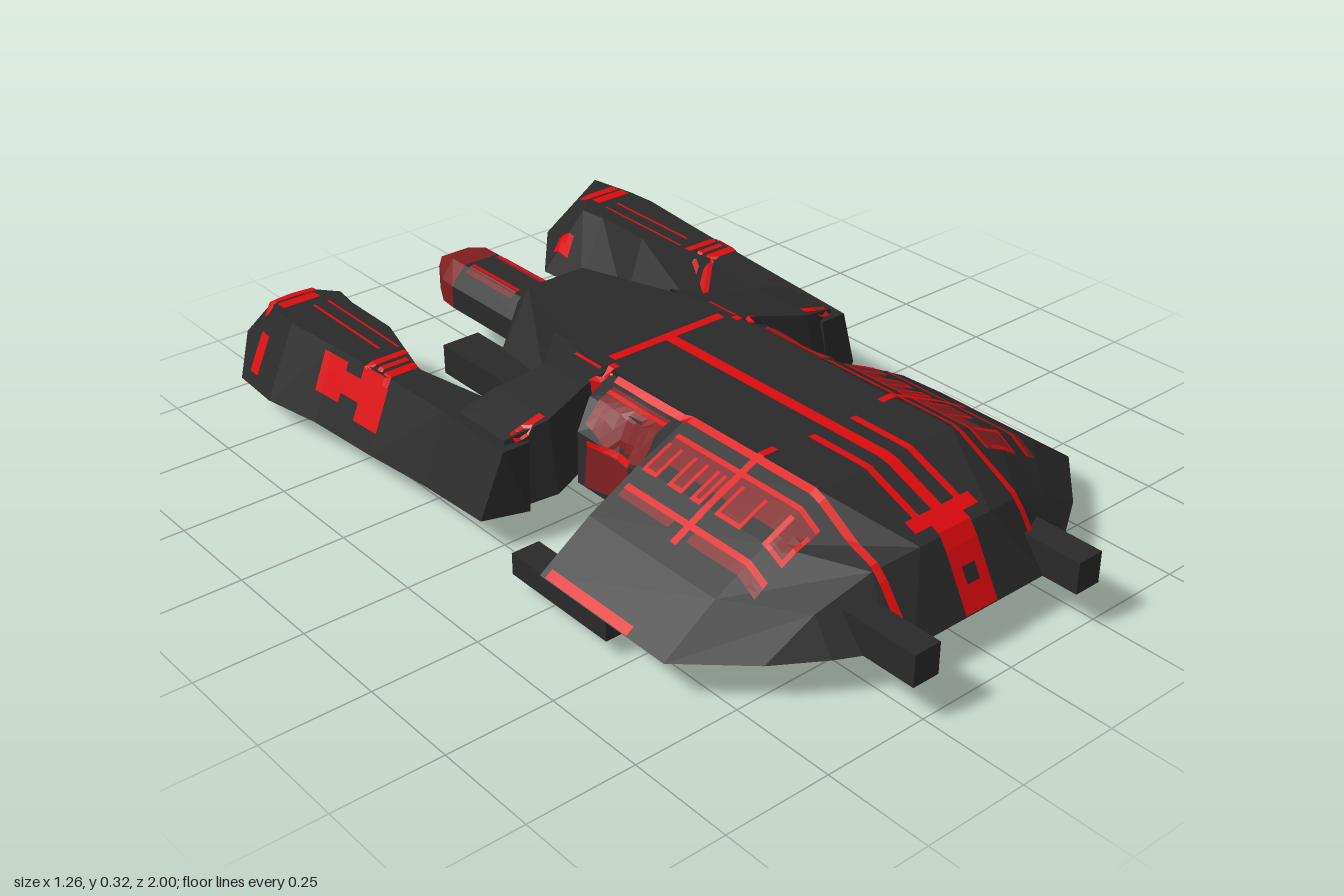
import * as THREE from 'three';

const mat = (name, color) => {
  const m = new THREE.MeshStandardMaterial({ color, side: THREE.DoubleSide, flatShading: true });
  m.name = name;
  return m;
};

// Skin a list of equal-length rings of [x, y, z] points, capping the listed rings
function loft(rings, closed = false, caps = []) {
  const p = [];
  const n = rings[0].length;
  const tri = (a, b, c) => p.push(...a, ...b, ...c);
  for (let i = 0; i + 1 < rings.length; i++) {
    for (let j = 0; j < (closed ? n : n - 1); j++) {
      const k = (j + 1) % n;
      const [a, b, c, d] = [rings[i][j], rings[i][k], rings[i + 1][k], rings[i + 1][j]];
      tri(a, b, c);
      tri(a, c, d);
    }
  }
  for (const ci of caps) {
    const r = rings[ci];
    for (let j = 1; j + 1 < n; j++) tri(r[0], r[j], r[j + 1]);
  }
  const g = new THREE.BufferGeometry();
  g.setAttribute('position', new THREE.Float32BufferAttribute(p, 3));
  g.computeVertexNormals();
  return g;
}

// Full ring from its right half, centre point first
const mirrorRing = half => [...half.slice(1).reverse().map(([x, y, z]) => [-x, y, z]), ...half];

export function createModel() {
  const model = new THREE.Group();
  model.name = 'spaceship';
  const dark = mat('charcoal', 0x2a2a2a);
  const red = mat('red', 0xdd0a0e);
  const maroon = mat('darkRed', 0x7e1e20);
  const add = (name, geo, m = dark) => {
    const mesh = new THREE.Mesh(geo, m);
    mesh.name = name;
    model.add(mesh);
    return mesh;
  };
  const box = (name, x0, x1, y0, y1, z0, z1) => {
    const g = new THREE.BoxGeometry(x1 - x0, y1 - y0, z1 - z0);
    g.translate((x0 + x1) / 2, (y0 + y1) / 2, (z0 + z1) / 2);
    add(name, g);
  };

  // Broad front hull: a shell open underneath, with a rear panel that dips on one side
  const section = z => [[0, .315, z], [.19, .315, z], [.33, .25, z], [.46, .18, z], [.59, .09, z]];
  const hull = add('frontHull', loft([
    section(.25), section(.64),
    [[0, .24, .83], [.1, .24, .83], [.21, .22, .81], [.33, .16, .78], [.45, .09, .77]],
    [[0, .09, .912], [.19, .09, .912], [.24, .09, .89], [.34, .09, .84], [.45, .09, .77]],
  ].map(mirrorRing)));
  for (const s of [1, -1]) {
    const [dip, mid] = s > 0 ? [.02, .055] : [.08, .085];
    add('hullRearPanel', loft([
      [[.19 * s, .1, .23], [.33 * s, dip, .235], [.46 * s, mid, .25], [.59 * s, .09, .26]],
      [[.19 * s, .315, .25], [.33 * s, .25, .25], [.46 * s, .18, .25], [.59 * s, .09, .25]],
    ]));
  }

  // Spine running back from the hull
  const spine = add('spine', loft([
    [[0, .315, .25], [.19, .315, .25], [.2, .14, .25]],
    [[0, .315, -.1], [.19, .315, -.1], [.2, .14, -.1]],
    [[0, .315, -.22], [.16, .315, -.22], [.19, .14, -.25]],
    [[0, .315, -.46], [.08, .315, -.46], [.17, .14, -.47]],
    [[0, .25, -.52], [.07, .25, -.52], [.09, .14, -.52]],
  ].map(mirrorRing)));

  // Tail boom with a coloured tip
  const boomRing = (z, w, t, y1) => [[-w, .145, z], [-w, .205, z], [-t, y1, z], [t, y1, z], [w, .205, z], [w, .145, z]];
  const boom = add('tailBoom', loft([boomRing(-.44, .09, .05, .25), boomRing(-.77, .09, .05, .25)], true, [0]));
  add('tailTip', loft([boomRing(-.77, .09, .05, .25), boomRing(-.82, .085, .05, .25), boomRing(-.885, .05, .04, .23)], true, [2]), maroon);

  // Side necks, wings and rear arms, all open underneath
  const necks = [], wings = [], arms = [];
  for (const s of [1, -1]) {
    const side = rings => rings.map(r => r.map(([x, y, z]) => [x * s, y, z]));
    const low = s > 0 ? .02 : .08;
    necks.push(add('sideNeck', loft(side([
      [[.18, .31, .25], [.26, .28, .25], [.31, .2, .25], [.33, low, .235]],
      [[.18, .31, .13], [.25, .28, .13], [.29, .2, .13], [.3, .08, .13]],
      [[.18, .31, -.02], [.26, .28, 0], [.31, .22, .02], [.32, .1, .03]],
    ]))));
    wings.push(add('wing', loft(side([
      [.17, 0, -.27, .312, .14], [.26, .01, -.19, .295, .13],
      [.38, .04, -.21, .27, .1], [.48, .015, -.21, .245, .09],
    ].map(([x, zf, zb, t, b]) => [[x, b, zf], [x, t, zf - .03], [x, t, zb + .03], [x, b, zb]])))));
    // z, inner bottom, inner top, outer top, outer bottom, top y, bottom y
    const armRings = [
      [.01, .45, .43, .5, .555, .235, .08], [-.2, .36, .4, .505, .565, .245, .08],
      [-.39, .41, .44, .515, .585, .25, .08], [-.6, .32, .38, .53, .6, .254, .08],
      [-.76, .3, .38, .545, .628, .256, .08],
    ].map(([z, ib, it, ot, ob, t, b], i) => [[ib, i || s < 0 ? b : 0, i ? z : .03], [it, t, z], [ot, t, z], [ob, b, i ? z : -.005]]);
    armRings.push([[.29, .08, -.9], [.37, .257, -.83], [.54, .257, -.84], [.62, .08, -.9]]);
    armRings.push([[.37, .14, -.99], [.41, .25, -.9], [.52, .257, s > 0 ? -.97 : -.89], [.54, .14, -1]]);
    arms.push(add('rearArm', loft(side(armRings), false, [0, 6])));
  }

  // Guns, belly pods and rear thruster rails
  for (const [x, pod, rail] of [[.218, .52, .172], [-.25, -.552, -.199]]) {
    box('frontGun', x - .034, x + .034, .09, .165, .74, 1);
    box('bellyPod', pod - .035, pod + .035, .04, .092, .15, .46);
    box('rearRail', rail - .05, rail + .05, .095, .17, -.58, -.1);
  }

  // Painted patches: a fine grid laid onto the surface along an axis, inside and out
  model.updateMatrixWorld(true);
  const ray = new THREE.Raycaster();
  const shells = [hull, spine, boom, ...necks, ...wings, ...arms];
  // from: 'top' takes x and z ranges, 1 or -1 takes y and z ranges seen from that side
  function patch(name, m, a0, a1, z0, z1, from = 'top') {
    const top = from === 'top';
    const dir = top ? new THREE.Vector3(0, -1, 0) : new THREE.Vector3(-from, 0, 0);
    const na = Math.max(1, Math.ceil((a1 - a0) / .02)), nz = Math.max(1, Math.ceil((z1 - z0) / .025));
    const lift = m === red ? .005 : .003;
    for (const layer of [1, -1]) {
      const grid = [], p = [];
      for (let i = 0; i <= na; i++) {
        grid.push([]);
        for (let j = 0; j <= nz; j++) {
          const a = a0 + (a1 - a0) * i / na, z = z0 + (z1 - z0) * j / nz;
          ray.set(top ? new THREE.Vector3(a, 1, z) : new THREE.Vector3(from, a, z), dir);
          const hit = ray.intersectObjects(shells, false)[0];
          if (!hit) { grid[i].push(null); continue; }
          const n = hit.face.normal.clone();
          if (n.dot(dir) > 0) n.negate();
          grid[i].push(hit.point.addScaledVector(n, lift * layer).toArray());
        }
      }
      for (let i = 0; i < na; i++) for (let j = 0; j < nz; j++) {
        const q = [grid[i][j], grid[i][j + 1], grid[i + 1][j + 1], grid[i + 1][j]];
        // skip cells that miss or bridge a gap between parts
        if (q.some(v => !v) || Math.abs(q[0][1] - q[2][1]) > .12 || Math.abs(q[0][0] - q[2][0]) > .1) continue;
        p.push(...q[0], ...q[1], ...q[2], ...q[0], ...q[2], ...q[3]);
      }
      if (!p.length) continue;
      const g = new THREE.BufferGeometry();
      g.setAttribute('position', new THREE.Float32BufferAttribute(p, 3));
      g.computeVertexNormals();
      add(name, g, m);
    }
  }

  // Centre line, cross bar and nose stripe around a dark port
  patch('centreStripe', red, -.015, .015, -.04, .8);
  patch('crossBar', red, -.16, .16, -.06, -.035);
  patch('noseBar', red, -.09, .09, .775, .805);
  patch('noseStripe', red, -.045, .045, .805, .865);
  patch('noseStripe', red, -.045, .045, .883, .91);

  // Patches repeated on both sides: name, colour, x range, z range
  const bumps = [[.27, .315], [.35, .395], [.42, .45], [.495, .57], [.635, .69]];
  const pairs = [
    ['noseStripeEdge', red, .018, .045, .865, .883],
    ['deckLine', red, .05, .068, .48, .78],
    ['hullLine', red, .19, .207, .02, .9],
    ['hullCrossLine', red, .15, .42, .46, .478],
    ['hullPanel', maroon, .24, .3, .27, .69],
    ['panelEdge', red, .235, .246, .27, .69],
    ...bumps.flatMap(([a, b]) => [
      ['panelBump', maroon, .3, .335, a, b],
      ['panelBumpEdge', red, .26, .335, a, a + .009],
      ['panelBumpEdge', red, .26, .335, b - .009, b],
      ['panelBumpEdge', red, .326, .335, a, b],
    ]),
    ['outerLine', maroon, .38, .405, .49, .69],
    ['outerLine', maroon, .38, .4, .27, .43],
    ['outerLineEdge', red, .37, .383, .27, .69],
    ['rimStripe', red, .57, .589, .27, .53],
    ['neckPanel', maroon, .215, .295, .03, .22],
    ['neckLine', red, .225, .235, .03, .22],
    ['wingMark', red, .17, .24, -.025, -.005],
    ['wingStripe', red, .225, .247, -.27, -.18],
    ['spineLine', red, .192, .2, -.13, -.04],
    ['boomLine', maroon, .03, .06, -.75, -.56],
    ['boomLineEdge', red, .035, .043, -.75, -.56],
    ['armFrontMark', red, .38, .46, -.02, 0],
    ['armBand', red, .42, .54, -.48, -.46],
    ['armBand', red, .42, .54, -.447, -.43],
    ['armBand', red, .42, .55, -.417, -.39],
    ['armLine', red, .42, .426, -.8, -.5],
    ['armLine', red, .458, .465, -.8, -.52],
    ['armTailBand', red, .41, .54, -.895, -.87],
    ['armTailBand', red, .425, .525, -.862, -.832],
    ['armTailEdge', red, .318, .342, -.89, -.83],
  ];
  for (const [name, m, x0, x1, z0, z1] of pairs) {
    patch(name, m, x0, x1, z0, z1);
    patch(name, m, -x1, -x0, z0, z1);
  }

  // Markings on the outer sides of the arms and necks
  for (const s of [1, -1]) {
    patch('armSideMark', red, .13, .25, -.47, -.385, s);
    patch('armSideMark', red, .17, .22, -.535, -.47, s);
    patch('armSideMark', red, .148, .24, -.62, -.535, s);
    patch('armTailMark', red, .11, .2, -.865, -.83, s);
    patch('neckSidePanel', maroon, .1, .21, .05, .18, s);
    patch('neckSideLine', red, .198, .21, .05, .18, s);
  }
  return model;
}
